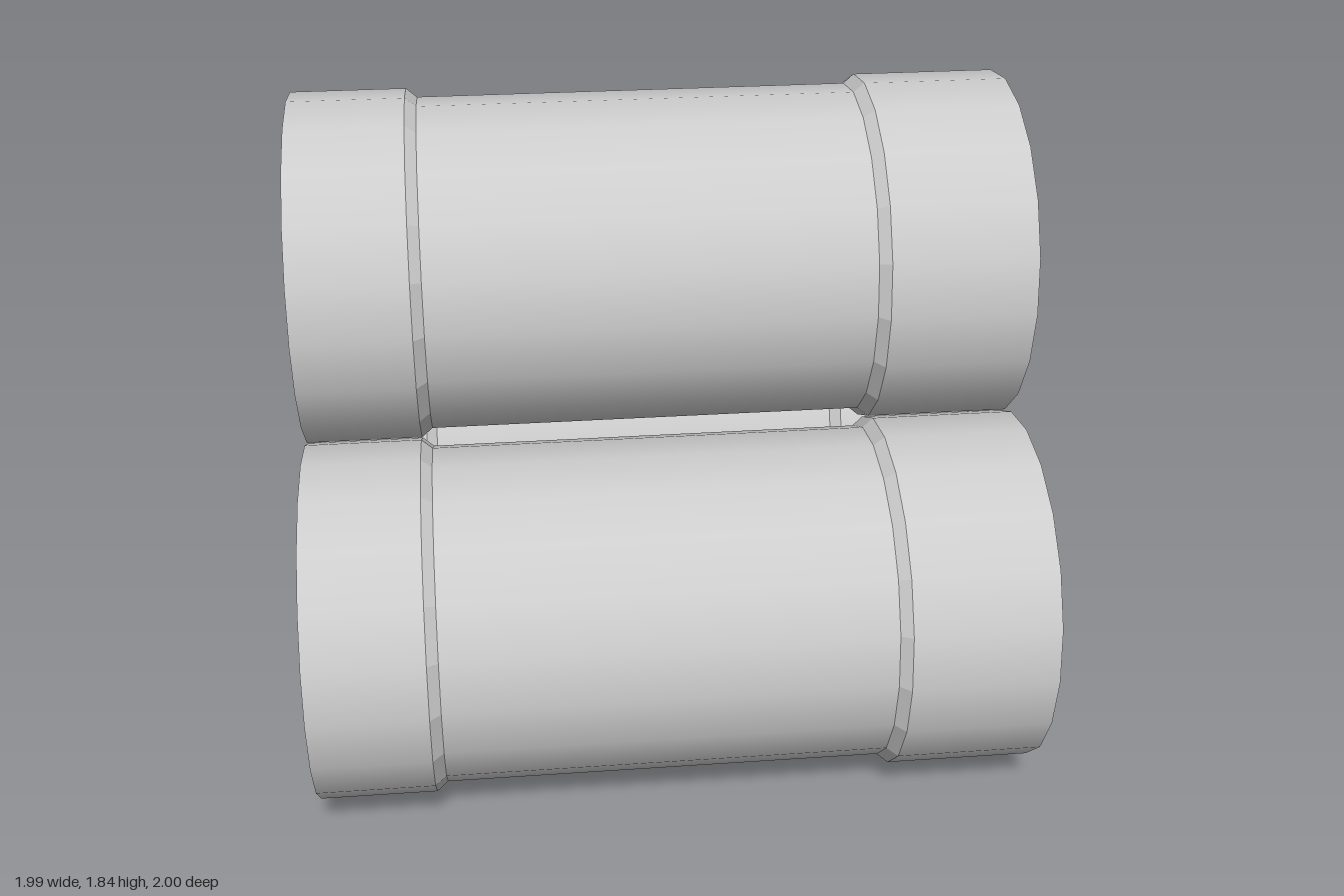
import * as THREE from 'three';

const SIDES = 20;

// Each band: name, start [radius, x], end [radius, x], faceted or smooth
const bands = [
  ['rightRecessFloor', [0, -0.835], [0.335, -0.835], false],
  ['rightRecessWall', [0.335, -0.835], [0.395, -0.995], true],
  ['rightRim', [0.395, -0.995], [0.495, -0.995], false],
  ['rightCollar', [0.495, -0.995], [0.495, -0.675], false],
  ['rightShoulder', [0.495, -0.675], [0.47, -0.645], true],
  ['barrel', [0.47, -0.645], [0.47, 0.565], false],
  ['leftShoulder', [0.47, 0.565], [0.495, 0.595], true],
  ['leftCollar', [0.495, 0.595], [0.495, 0.995], false],
  ['leftRim', [0.495, 0.995], [0.395, 0.995], false],
  ['leftRecessWall', [0.395, 0.995], [0.335, 0.835], true],
  ['leftRecessFloor', [0.335, 0.835], [0, 0.835], false],
];

// One ring of surface turned around the x axis
function bandGeometry(a, b, faceted) {
  let g = new THREE.LatheGeometry([new THREE.Vector2(...a), new THREE.Vector2(...b)], SIDES);
  if (faceted) {
    g = g.toNonIndexed();
    g.computeVertexNormals();
  }
  return g.rotateZ(-Math.PI / 2);
}

export function createModel() {
  const model = new THREE.Group();
  model.name = 'pipeStack';
  const concrete = new THREE.MeshStandardMaterial({ color: 0xcccccc });
  concrete.name = 'pale grey';

  const parts = bands.map(([name, a, b, faceted]) => [name, bandGeometry(a, b, faceted)]);

  // Two pipes side by side with a third resting on top
  const places = [
    ['frontPipe', 0.495, 0.505],
    ['backPipe', 0.495, -0.505],
    ['topPipe', 1.34, 0],
  ];
  for (const [name, y, z] of places) {
    const pipe = new THREE.Group();
    pipe.name = name;
    pipe.position.set(0, y, z);
    for (const [part, geometry] of parts) {
      const mesh = new THREE.Mesh(geometry, concrete);
      mesh.name = part;
      pipe.add(mesh);
    }
    model.add(pipe);
  }
  return model;
}
